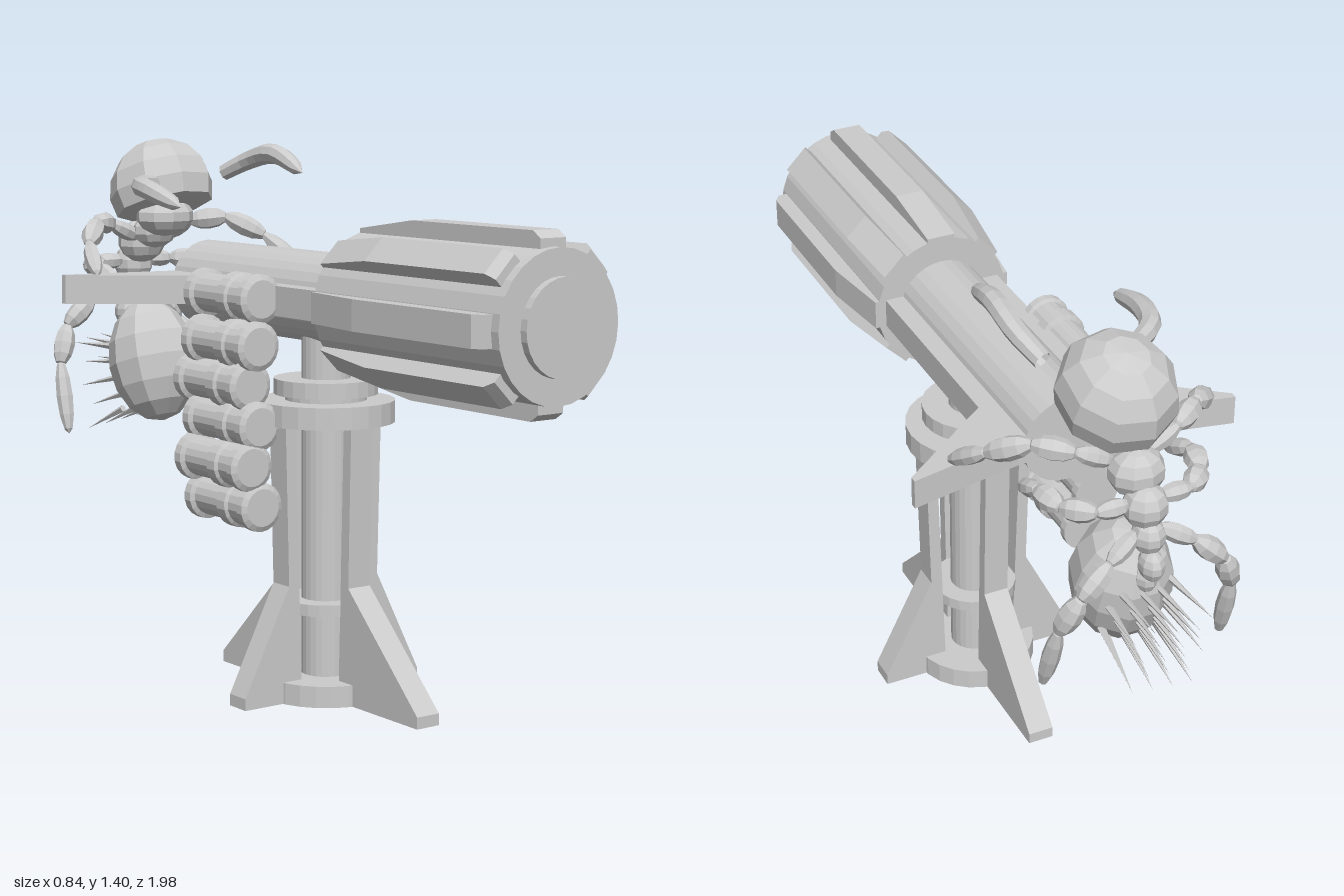
import * as THREE from 'three';

const flat = new THREE.MeshStandardMaterial({ color: 0xcccccc, flatShading: true, side: THREE.DoubleSide });
const V = (x, y, z) => new THREE.Vector3(x, y, z);
const UP = V(0, 1, 0);

function add(parent, name, geo) {
  const m = new THREE.Mesh(geo, flat);
  m.name = name;
  parent.add(m);
  return m;
}

// Plate cut from a 2D outline, centred on its thickness
function plate(points, thickness) {
  const shape = new THREE.Shape(points.map(p => new THREE.Vector2(...p)));
  return new THREE.ExtrudeGeometry(shape, { depth: thickness, bevelEnabled: false }).translate(0, 0, -thickness / 2);
}

// Low-poly ellipsoid
function blob(parent, name, pos, radii, tilt = 0, w = 9, h = 7) {
  const m = add(parent, name, new THREE.SphereGeometry(1, w, h));
  m.scale.set(...radii);
  m.position.set(...pos);
  m.rotation.x = tilt;
  return m;
}

// Ellipsoid limb segment between two points
function segment(parent, name, a, b, r) {
  const d = b.clone().sub(a);
  const m = add(parent, name, new THREE.SphereGeometry(1, 7, 6));
  m.scale.set(r, d.length() * 0.56, r);
  m.position.copy(a).lerp(b, 0.5);
  m.quaternion.setFromUnitVectors(UP, d.normalize());
}

// Curved horn that narrows to its tip
function horn(parent, name, pts, r) {
  const curve = new THREE.CatmullRomCurve3(pts);
  const n = 10, sides = 8;
  const geo = new THREE.TubeGeometry(curve, n, r, sides);
  const p = geo.attributes.position;
  for (let i = 0; i <= n; i++) {
    const t = i / n, c = curve.getPointAt(t);
    const k = Math.max(0.02, Math.pow(1 - t, 0.4) * (0.75 + 0.9 * t));
    for (let j = 0; j <= sides; j++) {
      const q = i * (sides + 1) + j;
      const v = V().fromBufferAttribute(p, q).sub(c).multiplyScalar(k).add(c);
      p.setXYZ(q, v.x, v.y, v.z);
    }
  }
  add(parent, name, geo);
}

function buildStand() {
  const g = new THREE.Group();
  g.name = 'stand';
  g.position.z = 0.112;
  // Discs and pillar: name, radius, bottom, top
  [['baseDisc', 0.163, 0, 0.055], ['pillar', 0.063, 0, 0.95], ['pillarRing', 0.113, 0.222, 0.252],
    ['topDisc', 0.176, 0.707, 0.763], ['turntableNeck', 0.105, 0.763, 0.778], ['turntable', 0.133, 0.778, 0.818]
  ].forEach(([name, r, y0, y1]) => {
    add(g, name, new THREE.CylinderGeometry(r, r, y1 - y0, 24)).position.y = (y0 + y1) / 2;
  });
  // Four splayed fins, the front and back ones longer
  for (let i = 0; i < 4; i++) {
    const reach = i % 2 ? 0.418 : 0.275;
    const fin = add(g, 'standFin', plate([[0.1, 0], [reach, 0], [reach, 0.03], [0.14, 0.3], [0.15, 0.71], [0.12, 0.71]], 0.068));
    fin.rotation.y = i * Math.PI / 2;
  }
  return g;
}

function buildGun() {
  const g = new THREE.Group();
  g.name = 'gun';
  g.position.y = 1.02;
  const cyl = (name, r, z0, z1) => add(g, name,
    new THREE.CylinderGeometry(r, r, z1 - z0, 28).rotateX(Math.PI / 2)).position.z = (z0 + z1) / 2;
  cyl('barrel', 0.115, -0.42, 1.0);
  cyl('drum', 0.179, 0.3, 0.98);
  // Ribs around the drum
  const rib = plate([[0.3, 0.15], [0.3, 0.186], [0.5, 0.215], [0.93, 0.215], [0.955, 0.198], [0.955, 0.15]], 0.076)
    .rotateY(-Math.PI / 2);
  for (let i = 0; i < 8; i++) add(g, 'drumRib', rib).rotation.z = i * Math.PI / 4;
  // Side rails that flare into tail wings
  for (const s of [-1, 1]) {
    const outline = [[0.1, 0.3], [0.157, 0.3], [0.157, -0.26], [0.42, -0.462], [0.42, -0.48], [0.13, -0.42], [0.1, -0.42]];
    add(g, 'tailWing', plate(outline.map(([x, z]) => [s * x, z]), 0.075).rotateX(Math.PI / 2));
  }
  return g;
}

function buildAmmoBelt() {
  const g = new THREE.Group();
  g.name = 'ammoBelt';
  // Flanged canister lying along z
  const profile = [[0, -0.13], [0.062, -0.13], [0.062, -0.105], [0.05, -0.1], [0.05, 0.01], [0.062, 0.015],
    [0.062, 0.05], [0.054, 0.055], [0.054, 0.1], [0.062, 0.105], [0.062, 0.125], [0.048, 0.132], [0, 0.132]];
  const geo = new THREE.LatheGeometry(profile.map(p => new THREE.Vector2(...p)), 18).rotateX(Math.PI / 2);
  [[-0.196, 1.026, -0.02], [-0.218, 0.911, 0], [-0.226, 0.811, -0.025], [-0.215, 0.711, 0], [-0.24, 0.611, 0], [-0.21, 0.507, 0]]
    .forEach(p => add(g, 'canister', geo).position.set(...p));
  return g;
}

function buildInsect() {
  const g = new THREE.Group();
  g.name = 'insect';
  g.position.x = -0.015;
  // Domed head, flattened underneath, with a smaller face below
  const head = blob(g, 'head', [0, 1.265, -0.625], [0.143, 0.135, 0.152], -0.35, 9, 8);
  const p = head.geometry.attributes.position;
  for (let i = 0; i < p.count; i++) p.setY(i, Math.max(p.getY(i), -0.42));
  blob(g, 'face', [0, 1.19, -0.61], [0.085, 0.055, 0.07]);
  // Jaws
  horn(g, 'rightJaw', [V(-0.11, 1.285, -0.5), V(-0.19, 1.285, -0.43), V(-0.22, 1.275, -0.33), V(-0.222, 1.24, -0.19)], 0.03);
  horn(g, 'leftJaw', [V(0.125, 1.31, -0.5), V(0.15, 1.345, -0.42), V(0.15, 1.365, -0.3), V(0.135, 1.32, -0.155)], 0.03);
  // Thorax and waist
  [[1.15, -0.66, 0.065, 0.05], [1.115, -0.73, 0.07, 0.06], [1.05, -0.775, 0.055, 0.055], [0.98, -0.795, 0.04, 0.045],
    [0.91, -0.815, 0.03, 0.04], [0.86, -0.785, 0.03, 0.04]].forEach(([y, z, rx, r]) => blob(g, 'bodySegment', [0, y, z], [rx, r, r]));
  // Abdomen with bristles on the back
  blob(g, 'abdomen', [0, 0.785, -0.675], [0.122, 0.172, 0.132], -0.3, 10, 8);
  const cone = new THREE.ConeGeometry(0.01, 1, 5).translate(0, 0.5, 0);
  for (let row = 0; row < 5; row++) {
    for (let col = 0; col < 4; col++) {
      const u = (col - 1.5 + (row % 2 ? 0.25 : -0.25)) / 1.5, t = row / 4;
      const from = V(u * 0.065, 0.82 - 0.17 * t, -0.765 + 0.05 * t);
      const to = V(u * 0.08, 0.83 - 0.24 * t + 0.012 * u, -0.985 + 0.11 * t + 0.03 * u * u * (1 - t));
      const d = to.sub(from), spike = add(g, 'bristle', cone);
      spike.scale.y = d.length();
      spike.position.copy(from);
      spike.quaternion.setFromUnitVectors(UP, d.normalize());
    }
  }
  // Three pairs of jointed legs
  const legs = {
    frontLeg: [[0.04, 1.13, -0.69], [0.13, 1.17, -0.68], [0.21, 1.18, -0.62], [0.285, 1.13, -0.54], [0.325, 1.06, -0.435]],
    middleLeg: [[0.04, 1.06, -0.77], [0.12, 1.06, -0.77], [0.18, 1.055, -0.71], [0.2, 1.06, -0.63], [0.19, 1.01, -0.535]],
    rearLeg: [[0.03, 0.99, -0.79], [0.11, 0.95, -0.82], [0.185, 0.88, -0.83], [0.225, 0.78, -0.8], [0.235, 0.6, -0.745]],
  };
  for (const [name, pts] of Object.entries(legs)) {
    for (const s of [-1, 1]) {
      const leg = new THREE.Group();
      leg.name = name;
      for (let i = 0; i < pts.length - 1; i++) {
        const [a, b] = [pts[i], pts[i + 1]].map(([x, y, z]) => V(s * x, y, z));
        segment(leg, 'legSegment', a, b, [0.024, 0.03, 0.03, 0.023][i]);
      }
      g.add(leg);
    }
  }
  return g;
}

export function createModel() {
  const model = new THREE.Group();
  model.name = 'turretWithInsect';
  model.add(buildStand(), buildGun(), buildAmmoBelt(), buildInsect());
  return model;
}
